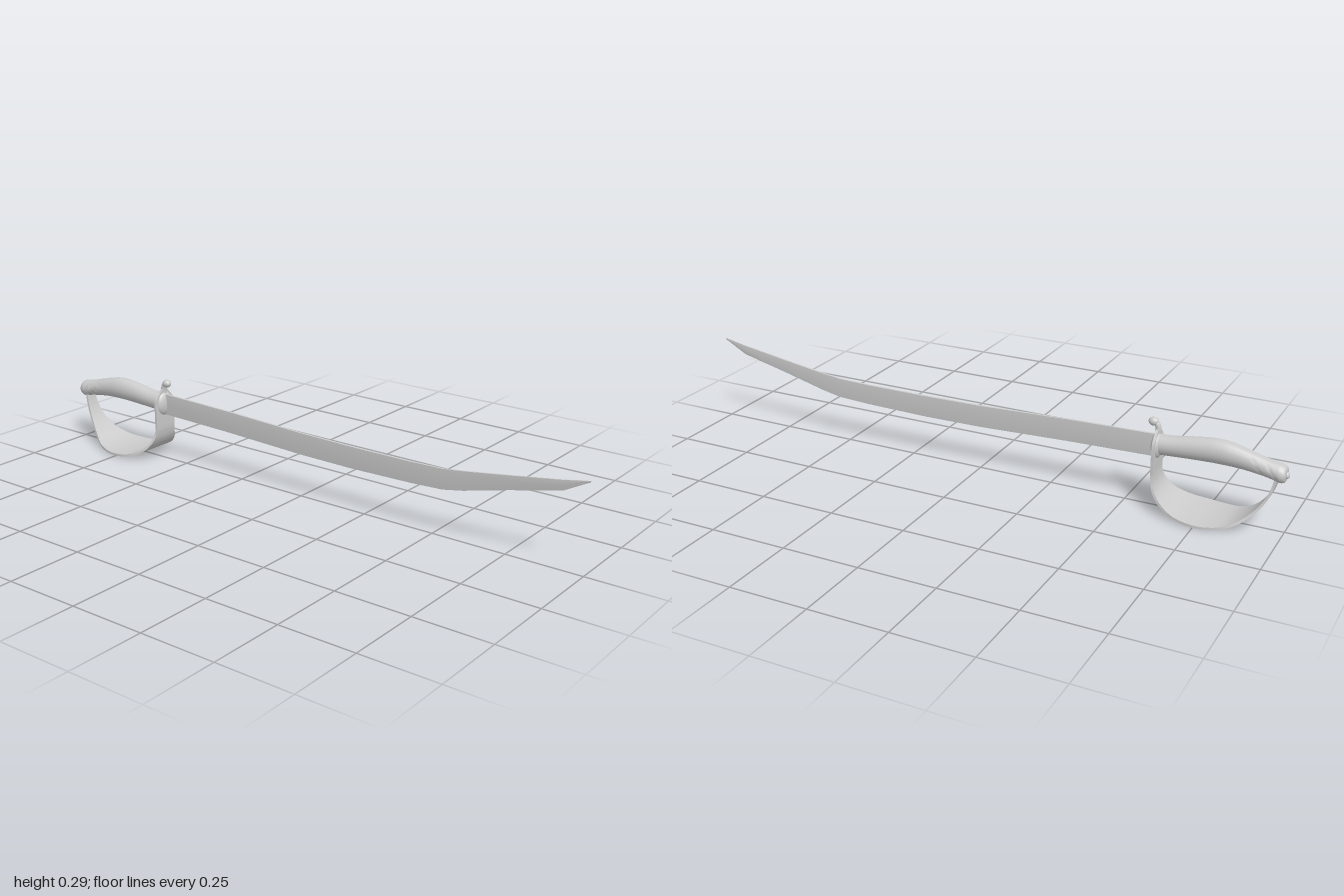
import * as THREE from 'three';
import { toCreasedNormals } from 'three/addons/utils/BufferGeometryUtils.js';

const material = new THREE.MeshStandardMaterial({ color: 0xcccccc });

function addMesh(group, name, geometry, x = 0, y = 0, z = 0) {
  const mesh = new THREE.Mesh(geometry, material);
  mesh.name = name;
  mesh.position.set(x, y, z);
  group.add(mesh);
  return mesh;
}

// Sweeps a unit profile along stations { y, z, w, h } (half width, half height), with end caps.
function sweep(stations, profile, { upright = false, crease = 0.7 } = {}) {
  const positions = [], index = [];
  const n = profile.length, last = stations.length - 1;
  stations.forEach((s, i) => {
    const a = stations[Math.max(i - 1, 0)], b = stations[Math.min(i + 1, last)];
    const t = upright ? new THREE.Vector2(1, 0) : new THREE.Vector2(b.z - a.z, b.y - a.y).normalize();
    for (const [u, v] of profile) positions.push(u * s.w, s.y + v * s.h * t.x, s.z - v * s.h * t.y);
  });
  for (let i = 0; i < last; i++) {
    for (let j = 0; j < n; j++) {
      const a = i * n + j, b = i * n + (j + 1) % n;
      index.push(a, b, b + n, a, b + n, a + n);
    }
  }
  for (let j = 1; j < n - 1; j++) {
    index.push(0, j + 1, j, last * n, last * n + j, last * n + j + 1);
  }
  const geometry = new THREE.BufferGeometry();
  geometry.setAttribute('position', new THREE.Float32BufferAttribute(positions, 3));
  geometry.setIndex(index);
  return toCreasedNormals(geometry, crease);
}

const circle = Array.from({ length: 20 }, (_, i) => {
  const a = i / 20 * Math.PI * 2;
  return [Math.cos(a), Math.sin(a)];
});

export function createModel() {
  const group = new THREE.Group();
  group.name = 'sabre';

  // Blade: z, bottom y, top y, half thickness
  const bladeRows = [
    [-0.6, 0.16, 0.234, 0.005], [-0.3, 0.153, 0.227, 0.005], [0, 0.142, 0.216, 0.005],
    [0.2, 0.14, 0.213, 0.005], [0.42, 0.144, 0.213, 0.0045], [0.53, 0.149, 0.216, 0.0045],
    [0.6, 0.162, 0.224, 0.004], [0.75, 0.2, 0.246, 0.004], [0.92, 0.24, 0.272, 0.003],
    [1, 0.283, 0.287, 0.001],
  ];
  const blade = bladeRows.map(([z, lo, hi, w]) => ({ z, w, y: (lo + hi) / 2, h: (hi - lo) / 2 }));
  addMesh(group, 'blade', sweep(blade,
    [[1, 0.2], [0.8, 1], [-0.8, 1], [-1, 0.2], [-0.1, -1], [0.1, -1]], { upright: true, crease: 0.4 }));

  // Grip: humped tube with a rounded pommel end (z, bottom y, top y, half width)
  const gripRows = [
    [-0.992, 0.168, 0.2, 0.016], [-0.988, 0.16, 0.209, 0.025], [-0.975, 0.156, 0.215, 0.03],
    [-0.95, 0.163, 0.219, 0.029], [-0.91, 0.17, 0.229, 0.028], [-0.86, 0.176, 0.243, 0.029],
    [-0.81, 0.178, 0.253, 0.031], [-0.77, 0.178, 0.254, 0.031], [-0.71, 0.176, 0.247, 0.03],
    [-0.65, 0.173, 0.238, 0.029], [-0.595, 0.17, 0.234, 0.029],
  ];
  const gripCurve = new THREE.CatmullRomCurve3(gripRows.map(([z, lo, hi]) =>
    new THREE.Vector3((hi - lo) / 2, (lo + hi) / 2, z)));
  const grip = Array.from({ length: 41 }, (_, i) => {
    const p = gripCurve.getPoint(i / 40);
    const k = i / 4, r = Math.min(Math.floor(k), 9);
    return { z: p.z, y: p.y, h: p.x, w: THREE.MathUtils.lerp(gripRows[r][3], gripRows[r + 1][3], k - r) };
  });
  addMesh(group, 'grip', sweep(grip, circle, { upright: true }));

  // Small nut on the pommel
  const nut = addMesh(group, 'pommelNut', new THREE.SphereGeometry(0.011, 14, 10), 0, 0.182, -0.991);
  nut.scale.z = 0.8;

  // Hand guard: thin curved ribbon, stored as (half width, y, z)
  const guardPath = new THREE.CatmullRomCurve3([
    [0.012, 0.252, -0.597], [0.024, 0.237, -0.597], [0.038, 0.22, -0.597], [0.044, 0.2, -0.597],
    [0.044, 0.15, -0.597], [0.045, 0.1, -0.599], [0.058, 0.065, -0.611], [0.072, 0.036, -0.638],
    [0.089, 0.014, -0.684], [0.097, 0.005, -0.74], [0.092, 0.004, -0.79], [0.075, 0.013, -0.845],
    [0.048, 0.042, -0.895], [0.03, 0.085, -0.933], [0.022, 0.13, -0.955], [0.018, 0.172, -0.965],
  ].map(p => new THREE.Vector3(...p)));
  const guard = guardPath.getPoints(75).map(p => ({ w: p.x, y: p.y, z: p.z, h: 0.004 }));
  addMesh(group, 'handGuard', sweep(guard, [[1, -1], [1, 1], [-1, 1], [-1, -1]]));

  // Collar where blade, guard and grip meet
  const collar = addMesh(group, 'collar', new THREE.SphereGeometry(1, 24, 16), 0, 0.2, -0.597);
  collar.scale.set(0.036, 0.042, 0.018);

  // Curled finial above the collar
  const neck = new THREE.CatmullRomCurve3([[0.225, -0.597], [0.25, -0.597], [0.265, -0.593], [0.273, -0.583]]
    .map(([y, z]) => new THREE.Vector3(0, y, z)));
  addMesh(group, 'finialNeck', new THREE.TubeGeometry(neck, 16, 0.009, 12));
  const knob = addMesh(group, 'finialKnob', new THREE.SphereGeometry(0.0135, 18, 12), 0, 0.273, -0.581);
  knob.scale.z = 1.2;

  return group;
}
